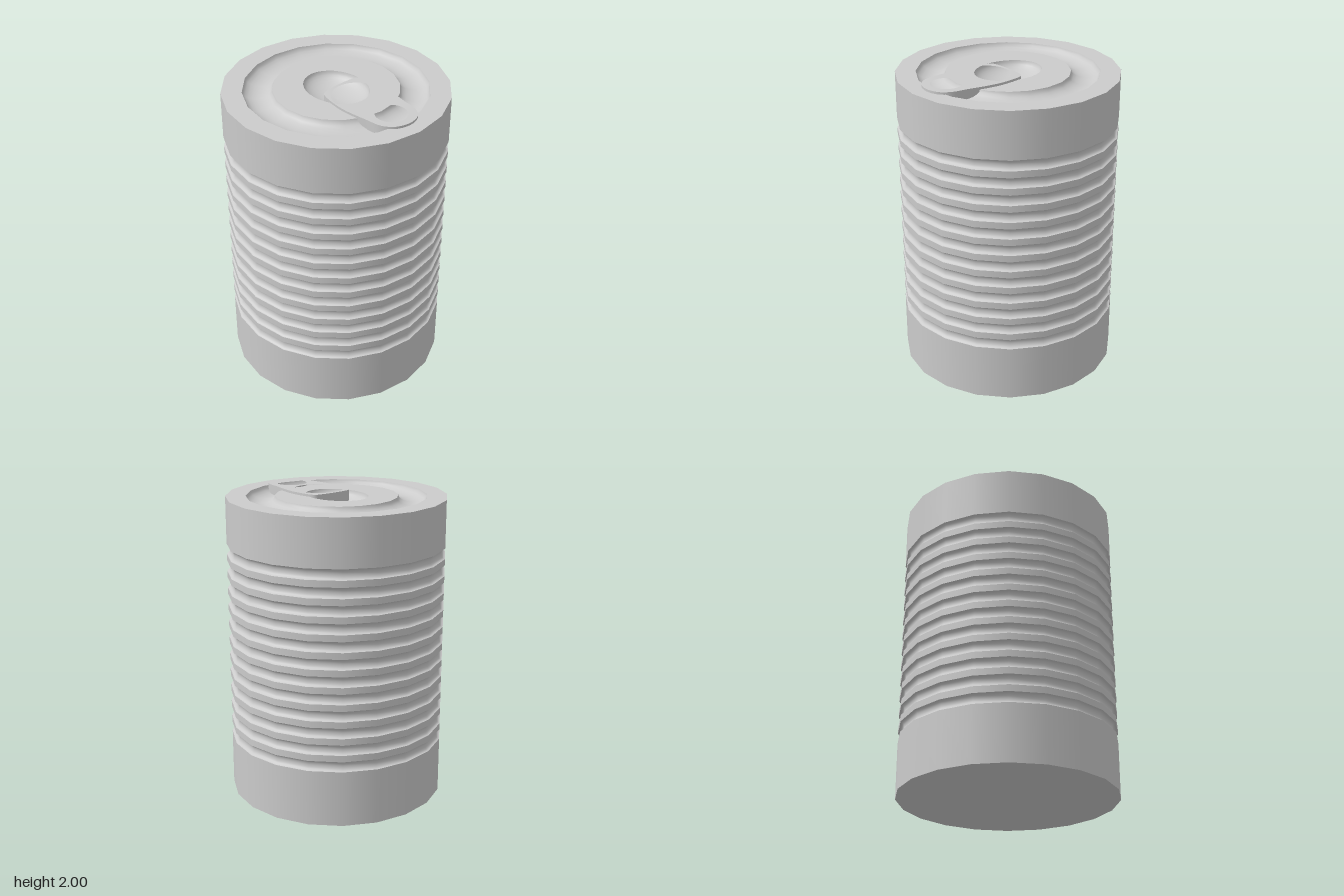
import * as THREE from 'three';
import { toCreasedNormals } from 'three/addons/utils/BufferGeometryUtils.js';

const SIDES = 20;
const R = 0.71;        // body radius
const TOP = 1.985;     // rim height
const material = new THREE.MeshStandardMaterial({ color: 0xcccccc });

function addMesh(parent, name, geometry) {
  const mesh = new THREE.Mesh(geometry, material);
  mesh.name = name;
  parent.add(mesh);
  return mesh;
}

// Each profile piece is its own lathe, so edges between pieces stay sharp
function addLathe(parent, name, points, sides = SIDES) {
  const profile = points.map(([r, y]) => new THREE.Vector2(r, y));
  return addMesh(parent, name, new THREE.LatheGeometry(profile, sides));
}

// Curved dip between two profile points, pushed along (dx, dy)
function dip([r0, y0], [r1, y1], dx, dy, steps = 8) {
  return Array.from({ length: steps + 1 }, (_, i) => {
    const a = (i / steps) * Math.PI;
    const t = (1 - Math.cos(a)) / 2, s = Math.sin(a);
    return [r0 + (r1 - r0) * t + dx * s, y0 + (y1 - y0) * t + dy * s];
  });
}

function createBody() {
  const body = new THREE.Group();
  body.name = 'body';
  const count = 12, first = 0.372, pitch = 0.1123, height = 0.069;
  addLathe(body, 'base', [[0, 0], [R, 0]]);
  // Straight bands alternate with rounded grooves
  let y = 0;
  for (let i = 0; i < count; i++) {
    const start = first + i * pitch;
    addLathe(body, i ? 'ridge' : 'lowerBand', [[R, y], [R, start]]);
    y = start + height;
    addLathe(body, 'groove', dip([R, start], [R, y], -0.024, 0));
  }
  addLathe(body, 'upperBand', [[R, y], [R, TOP]]);
  return body;
}

function createLid() {
  const lid = new THREE.Group();
  lid.name = 'lid';
  const outer = 0.58, inner = 0.395, rx = 0.183, rz = 0.228;
  addLathe(lid, 'rim', [[R, TOP], [outer, TOP]]);
  addLathe(lid, 'channel', dip([outer, TOP], [inner, TOP], 0, -0.05, 10));

  // Flat centre panel with an oval opening
  const ring = (a, b, n) => Array.from({ length: n }, (_, i) => {
    const t = (i / n) * Math.PI * 2;
    return new THREE.Vector2(a * Math.cos(t), b * Math.sin(t));
  });
  const panel = new THREE.Shape(ring(inner, inner, SIDES));
  panel.holes.push(new THREE.Path(ring(rx, rz, 32)));
  const mesh = addMesh(lid, 'centrePanel', new THREE.ShapeGeometry(panel));
  mesh.rotation.x = -Math.PI / 2;
  mesh.position.y = TOP;

  // Oval bowl under the opening
  const bowl = Array.from({ length: 11 }, (_, i) => {
    const a = (i / 10) * Math.PI / 2;
    return [i === 10 ? 0 : Math.cos(a), -0.085 * Math.sin(a)];
  });
  const dimple = addLathe(lid, 'dimple', bowl, 32);
  dimple.scale.set(rx, 1, rz);
  dimple.position.y = TOP;
  return lid;
}

function createPullTab() {
  const thickness = 0.07;
  // Outline as (x, z), squared at the back and rounded at the front
  const outline = [
    [-0.125, 0.026], [-0.07, 0.012], [0.01, 0.005], [0.1, 0.007], [0.155, 0.017],
    [0.176, 0.05], [0.195, 0.18], [0.19, 0.28], [0.165, 0.42], [0.147, 0.53],
    [0.1, 0.595], [0.012, 0.62], [-0.08, 0.595], [-0.136, 0.53], [-0.153, 0.42],
    [-0.17, 0.28], [-0.167, 0.18], [-0.145, 0.06],
  ].map(([x, z]) => new THREE.Vector3(x, -z, 0));
  const curve = new THREE.CatmullRomCurve3(outline, true);
  const shape = new THREE.Shape(
    curve.getPoints(72).slice(0, -1).map((p) => new THREE.Vector2(p.x, p.y)));

  // Large rivet hole and small finger hole
  for (const [x, z, r] of [[0.003, 0.183, 0.16], [0.005, 0.47, 0.1]]) {
    const hole = new THREE.Path();
    hole.absarc(x, -z, r, 0, Math.PI * 2, true);
    shape.holes.push(hole);
  }
  const geometry = new THREE.ExtrudeGeometry(shape, {
    depth: thickness, bevelEnabled: false, curveSegments: 32,
  });
  geometry.rotateX(-Math.PI / 2);
  geometry.translate(0, 2 - thickness, 0);
  const tab = new THREE.Mesh(toCreasedNormals(geometry, 0.7), material);
  tab.name = 'pullTab';
  return tab;
}

export function createModel() {
  const can = new THREE.Group();
  can.name = 'ribbedCan';
  can.add(createBody(), createLid(), createPullTab());
  return can;
}
